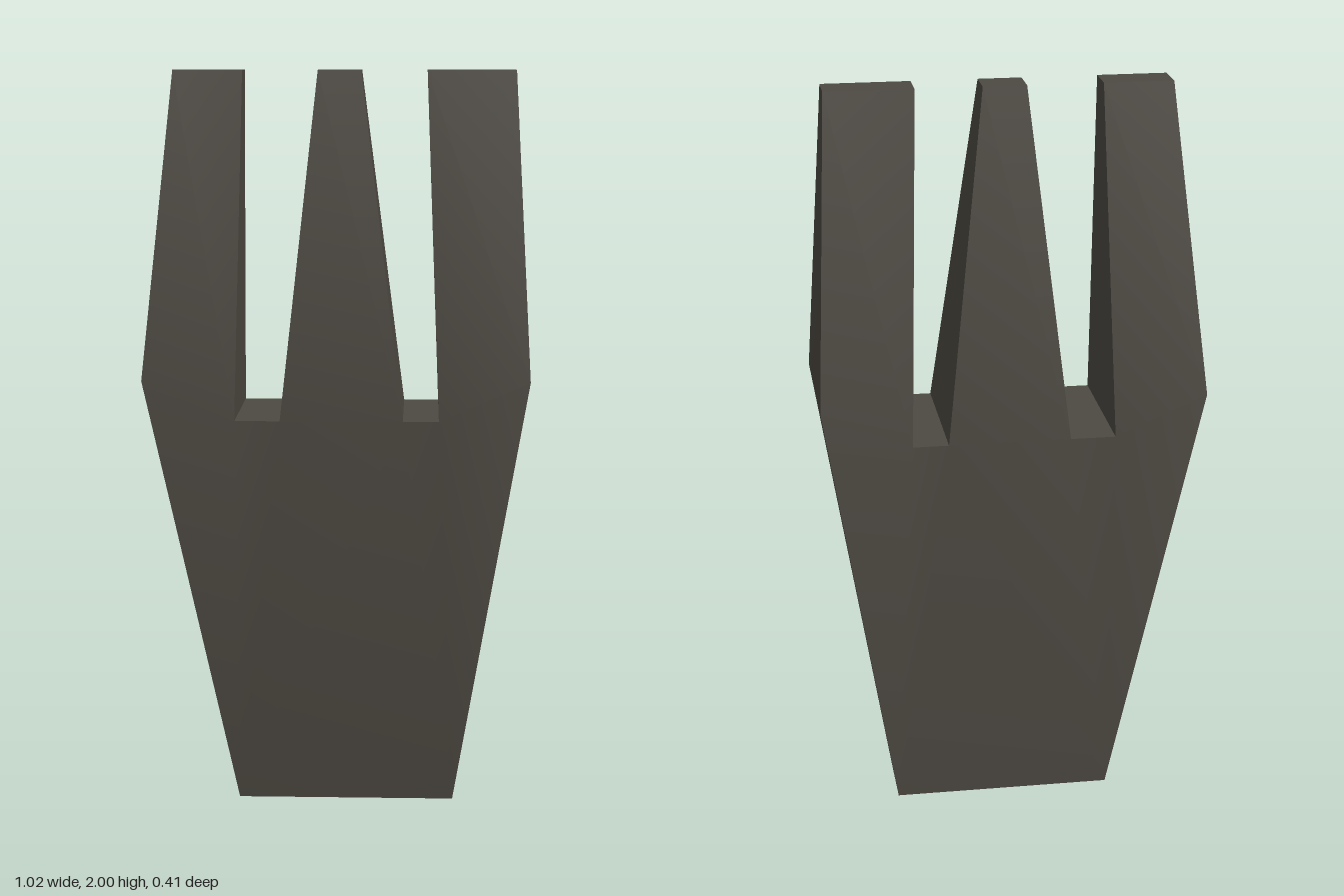
import * as THREE from 'three';
import { toCreasedNormals } from 'three/addons/utils/BufferGeometryUtils.js';

// Depth [front, back] at the foot, the thick middle and the tips
const FOOT = [0.035, -0.11], MID = [0.205, -0.205], TIP = [0.05, -0.045];

// Outline, anticlockwise from the foot: x, y, depth
const OUTLINE = [
  [-0.275, 0, FOOT], [0.315, 0, FOOT],
  [0.51, 1.19, MID], [0.47, 2, TIP], [0.235, 2, TIP], [0.27, 1.085, MID],
  [0.175, 1.085, MID], [0.06, 2, TIP], [-0.055, 2, TIP], [-0.15, 1.085, MID],
  [-0.27, 1.085, MID], [-0.255, 2, TIP], [-0.44, 2, TIP], [-0.515, 1.19, MID],
];

// Palm triangles, then one quad for each prong
const FACES = [
  [0, 1, 6], [1, 5, 6], [1, 2, 5], [0, 6, 9], [0, 9, 10], [0, 10, 13],
  [2, 3, 4, 5], [6, 7, 8, 9], [10, 11, 12, 13],
];

function forkGeometry() {
  const n = OUTLINE.length;
  const positions = [0, 1].flatMap((side) => OUTLINE.flatMap(([x, y, z]) => [x, y, z[side]]));
  const index = [];
  const polygon = (p) => {
    for (let k = 1; k < p.length - 1; k++) index.push(p[0], p[k], p[k + 1]);
  };
  // Broad front and back
  for (const f of FACES) {
    polygon(f);
    polygon(f.map((i) => i + n).reverse());
  }
  // Rim, tips and slots
  for (let i = 0; i < n; i++) {
    const j = (i + 1) % n;
    polygon([i, i + n, j + n, j]);
  }
  const geometry = new THREE.BufferGeometry();
  geometry.setAttribute('position', new THREE.Float32BufferAttribute(positions, 3));
  geometry.setIndex(index);
  return toCreasedNormals(geometry, THREE.MathUtils.degToRad(35));
}

export function createModel() {
  const darkStone = new THREE.MeshStandardMaterial({ color: 0x4d4942 });
  darkStone.name = 'darkStone';
  const body = new THREE.Mesh(forkGeometry(), darkStone);
  body.name = 'threeProngedBody';
  const group = new THREE.Group();
  group.name = 'threeProngedStone';
  group.add(body);
  return group;
}
